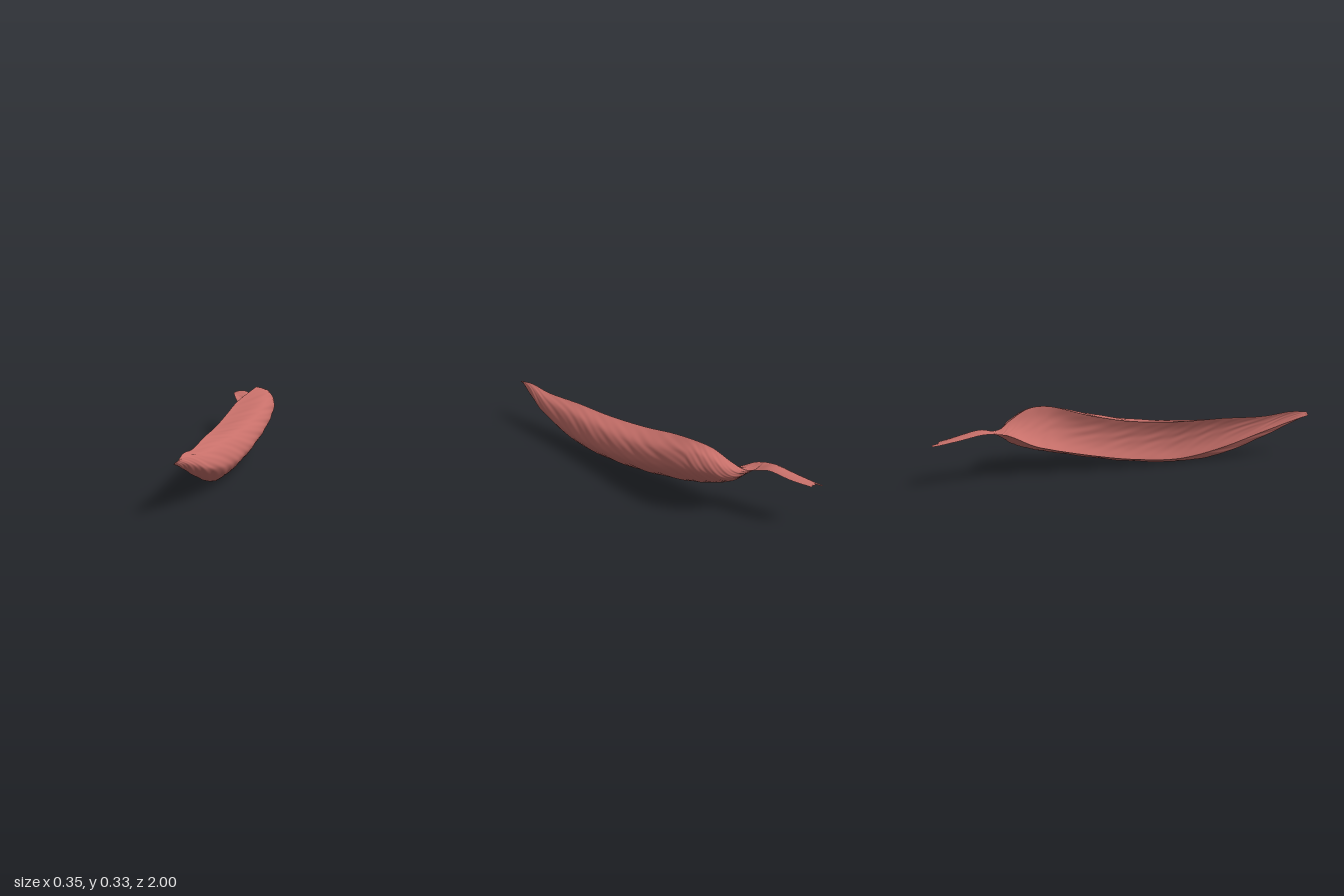
import * as THREE from 'three';

// Cross-sections from tip to stalk: z, then five x,y points
// (lower edge, belly, outer side, shoulder, upper edge)
const bladeSections = [
  [1.0, -0.174, 0.226, -0.17, 0.23, -0.166, 0.235, -0.16, 0.24, -0.155, 0.243],
  [0.9, -0.155, 0.195, -0.145, 0.18, -0.12, 0.205, -0.13, 0.235, -0.15, 0.25],
  [0.75, -0.14, 0.148, -0.118, 0.11, -0.062, 0.15, -0.085, 0.21, -0.135, 0.233],
  [0.5, -0.112, 0.068, -0.08, 0.022, 0.003, 0.105, -0.03, 0.2, -0.115, 0.236],
  [0.27, -0.094, 0.028, -0.05, 0.002, 0.06, 0.11, 0.02, 0.205, -0.095, 0.232],
  [0.0, -0.088, 0.05, -0.01, 0.024, 0.117, 0.145, 0.08, 0.226, -0.065, 0.25],
  [-0.2, -0.075, 0.085, 0.02, 0.058, 0.154, 0.185, 0.12, 0.263, -0.025, 0.287],
  [-0.4, -0.06, 0.13, 0.04, 0.1, 0.172, 0.23, 0.14, 0.306, 0.055, 0.333],
  [-0.5, -0.056, 0.16, 0.03, 0.125, 0.154, 0.235, 0.13, 0.303, 0.065, 0.327],
  [-0.6, -0.06, 0.213, 0.01, 0.165, 0.107, 0.22, 0.1, 0.262, 0.05, 0.275],
  [-0.655, -0.08, 0.24, -0.035, 0.212, 0.025, 0.22, 0.037, 0.235, 0.025, 0.243],
  [-0.7, -0.09, 0.25, -0.065, 0.246, -0.04, 0.245, -0.015, 0.245, 0.0, 0.242],
];

// Hollow inner face, from the upper edge back down to the lower edge
const innerSections = bladeSections.map((s) => {
  const lower = new THREE.Vector2(s[1], s[2]), upper = new THREE.Vector2(s[9], s[10]);
  const inward = new THREE.Vector2(upper.y - lower.y, lower.x - upper.x);
  const out = [s[0]];
  for (let k = 0; k < 5; k++) {
    const pt = upper.clone().lerp(lower, k / 4);
    pt.addScaledVector(inward, 0.11 * k * (4 - k) / 4);
    out.push(pt.x, pt.y);
  }
  return out;
});

const stalkSections = [
  bladeSections[bladeSections.length - 1],
  [-0.76, -0.095, 0.252, -0.075, 0.259, -0.052, 0.262, -0.03, 0.262, -0.01, 0.256],
  [-0.87, -0.098, 0.234, -0.08, 0.243, -0.06, 0.246, -0.04, 0.244, -0.02, 0.238],
  [-0.95, -0.1, 0.222, -0.085, 0.229, -0.07, 0.23, -0.055, 0.228, -0.038, 0.226],
  [-0.985, -0.101, 0.217, -0.088, 0.221, -0.075, 0.222, -0.06, 0.222, -0.045, 0.222],
];

// Smooth sheet through a list of sections
function loft(sections, rows, cols) {
  const rails = [0, 1, 2, 3, 4].map((k) => new THREE.CatmullRomCurve3(
    sections.map((s) => new THREE.Vector3(s[1 + 2 * k], s[2 + 2 * k], s[0]))));
  const pos = [], index = [];
  for (let i = 0; i <= rows; i++) {
    const across = new THREE.CatmullRomCurve3(rails.map((r) => r.getPoint(i / rows)));
    for (let j = 0; j <= cols; j++) pos.push(...across.getPoint(j / cols).toArray());
  }
  for (let i = 0; i < rows; i++) {
    for (let j = 0; j < cols; j++) {
      const a = i * (cols + 1) + j, b = a + cols + 1;
      index.push(a, b, a + 1, a + 1, b, b + 1);
    }
  }
  const g = new THREE.BufferGeometry();
  g.setAttribute('position', new THREE.Float32BufferAttribute(pos, 3));
  g.setIndex(index);
  g.computeVertexNormals();
  return g;
}

// Slanting veins pushed along the normals, fading out at the edges
function wrinkle(g, rows, cols, depth, slant) {
  const p = g.attributes.position, n = g.attributes.normal;
  for (let v = 0; v < p.count; v++) {
    const t = Math.floor(v / (cols + 1)) / rows, u = (v % (cols + 1)) / cols;
    const s = t * 11 + u * slant;
    const fade = Math.sqrt(Math.abs(Math.sin(Math.PI * t) * Math.sin(Math.PI * u)));
    const d = depth * fade * (Math.sin(s * 7.3 + 2 * Math.sin(u * 7))
      + 0.6 * Math.sin(s * 15.7 + 2 * Math.sin(t * 17)));
    p.setXYZ(v, p.getX(v) + n.getX(v) * d, p.getY(v) + n.getY(v) * d, p.getZ(v) + n.getZ(v) * d);
  }
  g.computeVertexNormals();
}

export function createModel() {
  const group = new THREE.Group();
  group.name = 'curledLeaf';
  const leafRed = new THREE.MeshStandardMaterial({ color: 0xc66f69, side: THREE.DoubleSide });
  leafRed.name = 'dryLeafRed';
  const add = (geometry, name) => {
    const mesh = new THREE.Mesh(geometry, leafRed);
    mesh.name = name;
    group.add(mesh);
  };

  // Rounded outside of the blade
  const blade = loft(bladeSections, 220, 56);
  wrinkle(blade, 220, 56, 0.0013, 4);
  add(blade, 'blade');

  // Hollow face on the open side
  const inner = loft(innerSections, 220, 32);
  wrinkle(inner, 220, 32, 0.0012, -2);
  add(inner, 'innerFace');

  // Flat stalk with a notched, torn end
  const rows = 40, cols = 16;
  const stalk = loft(stalkSections, rows, cols);
  const p = stalk.attributes.position;
  for (let j = 0; j <= cols; j++) {
    const u = j / cols;
    const tear = u < 0.35 ? -0.015 : Math.min(0.018, 0.022 - 0.012 * Math.sin((u - 0.35) * 9));
    for (let k = 0; k < 6; k++) {
      const v = (rows - k) * (cols + 1) + j;
      p.setZ(v, p.getZ(v) + tear * (1 - k / 6));
    }
  }
  stalk.computeVertexNormals();
  add(stalk, 'stalk');

  return group;
}
